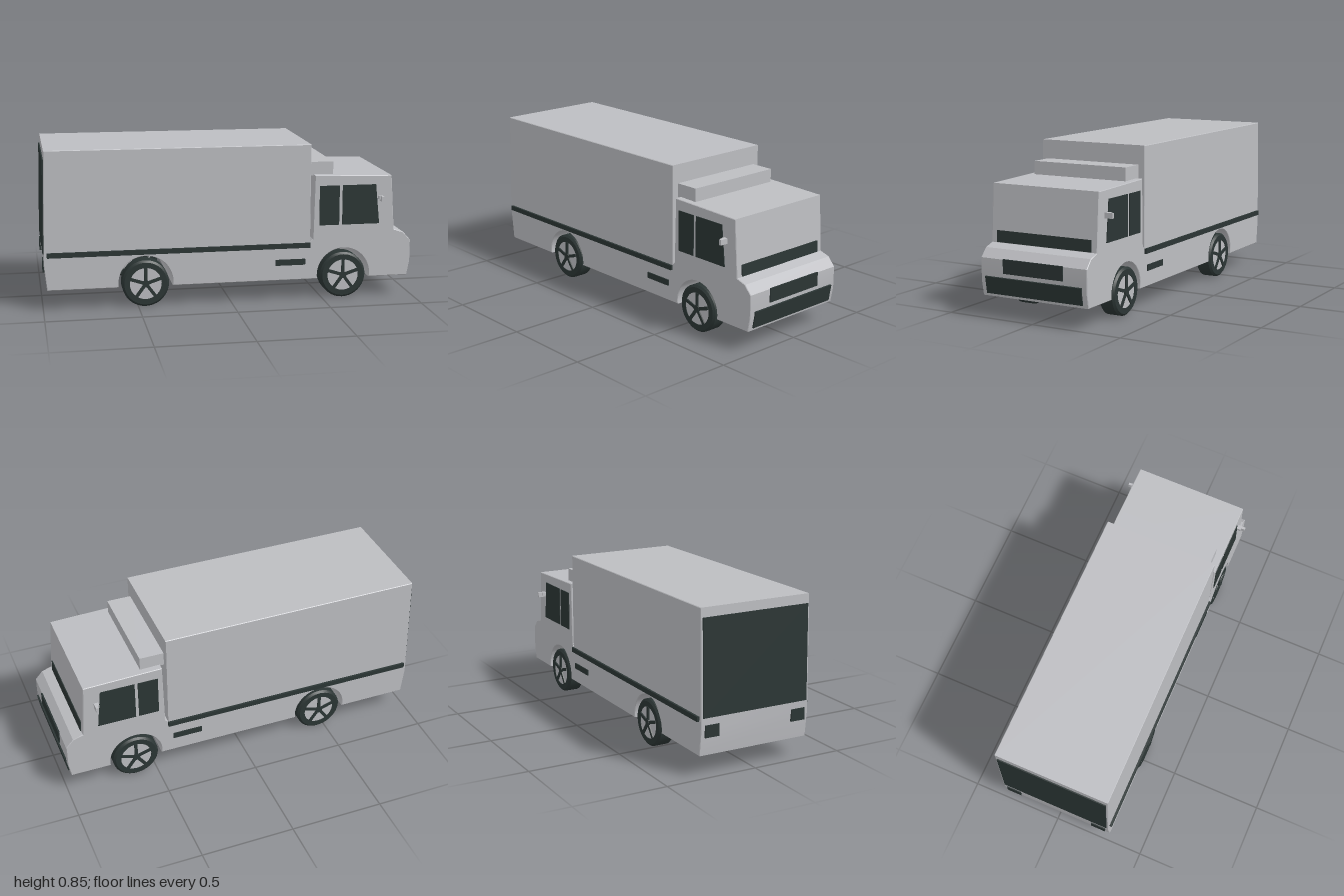
import * as THREE from 'three';
import { toCreasedNormals } from 'three/addons/utils/BufferGeometryUtils.js';

const paint = new THREE.MeshStandardMaterial({ color: 0xbcbdc1 });
paint.name = 'light grey paint';
const dark = new THREE.MeshStandardMaterial({ color: 0x2b3534 });
dark.name = 'dark trim';

const AXLES = [-0.46, 0.615];
const ARCH_R = 0.145, ARCH_Y = 0.13, BOTTOM = 0.11, HALF = 0.311;

function add(parent, name, geometry, material, x = 0, y = 0, z = 0) {
  const mesh = new THREE.Mesh(geometry, material);
  mesh.name = name;
  mesh.position.set(x, y, z);
  parent.add(mesh);
  return mesh;
}

// Box given by its limits on each axis
function block(parent, name, material, [x0, x1], [y0, y1], [z0, z1]) {
  return add(parent, name, new THREE.BoxGeometry(x1 - x0, y1 - y0, z1 - z0), material,
    (x0 + x1) / 2, (y0 + y1) / 2, (z0 + z1) / 2);
}

// Thin plate across the truck, laid on a sloping edge of the side profile
function crossPlate(parent, name, [xa, ya], [xb, yb], halfWidth) {
  const plate = add(parent, name,
    new THREE.BoxGeometry(0.009, Math.hypot(xb - xa, yb - ya), halfWidth * 2), dark,
    (xa + xb) / 2, (ya + yb) / 2, 0);
  plate.rotation.z = -Math.atan2(xb - xa, yb - ya);
  return plate;
}

// Side profile with open wheel arches and a gap between cab and cargo box
function bodyGeometry() {
  const s = new THREE.Shape();
  const a = Math.asin((ARCH_Y - BOTTOM) / ARCH_R);
  s.moveTo(-0.978, BOTTOM);
  for (const x of AXLES) {
    s.lineTo(x - ARCH_R * Math.cos(a), BOTTOM);
    s.absarc(x, ARCH_Y, ARCH_R, Math.PI + a, -a, true);
  }
  const rest = [[0.975, 0.11], [0.99, 0.19], [0.99, 0.305], [0.95, 0.35], [0.896, 0.368],
    [0.876, 0.666], [0.453, 0.678], [0.445, 0.33], [0.43, 0.315], [0.43, 0.845],
    [-0.978, 0.849], [-0.993, 0.25]];
  for (const [x, y] of rest) s.lineTo(x, y);
  s.closePath();
  const bevel = 0.003;
  const g = new THREE.ExtrudeGeometry(s, {
    depth: 2 * (HALF - bevel), curveSegments: 24, bevelEnabled: true,
    bevelThickness: bevel, bevelSize: bevel, bevelOffset: -bevel, bevelSegments: 1,
  });
  g.translate(0, 0, -(HALF - bevel));
  return toCreasedNormals(g, 0.4);
}

// Window plate on one side, from outline points
function sideWindow(parent, name, points, side) {
  const shape = new THREE.Shape(points.map(([x, y]) => new THREE.Vector2(x, y)));
  const g = new THREE.ExtrudeGeometry(shape, { depth: 0.006, bevelEnabled: false });
  add(parent, name, g, dark, 0, 0, side > 0 ? HALF - 0.002 : -HALF - 0.004);
}

// Wheel around its own z axis
function wheel() {
  const w = new THREE.Group();
  w.name = 'wheel';
  const profile = [[0.085, -0.046], [0.114, -0.046], [0.125, -0.036], [0.125, 0.036],
    [0.114, 0.046], [0.085, 0.046], [0.085, -0.046]].map(([r, h]) => new THREE.Vector2(r, h));
  const tyre = new THREE.LatheGeometry(profile, 40);
  tyre.rotateX(Math.PI / 2);
  add(w, 'tyre', toCreasedNormals(tyre, 0.5), dark);
  const rim = new THREE.CylinderGeometry(0.086, 0.086, 0.086, 40);
  rim.rotateX(Math.PI / 2);
  add(w, 'rim', rim, paint);
  const hub = new THREE.CylinderGeometry(0.019, 0.019, 0.104, 20);
  hub.rotateX(Math.PI / 2);
  add(w, 'hub', hub, dark);
  for (let i = 0; i < 5; i++) {
    const spoke = new THREE.BoxGeometry(0.017, 0.084, 0.1);
    spoke.translate(0, 0.044, 0);
    add(w, 'spoke', spoke, dark).rotation.z = i * Math.PI * 2 / 5;
  }
  return w;
}

export function createModel() {
  const truck = new THREE.Group();
  truck.name = 'box truck';

  // Body and roof fairing
  add(truck, 'body', bodyGeometry(), paint);
  block(truck, 'roofFairing', paint, [0.425, 0.56], [0.672, 0.745], [-0.275, 0.275]);

  // Front plates
  crossPlate(truck, 'windshield', [0.896, 0.37], [0.892, 0.43], 0.278);
  crossPlate(truck, 'grille', [0.991, 0.235], [0.991, 0.308], 0.175);
  crossPlate(truck, 'bumper', [0.98, 0.125], [0.995, 0.213], 0.282);

  // Rear door and lamps
  crossPlate(truck, 'rearDoor', [-0.992, 0.305], [-0.981, 0.8], 0.3);

  for (const side of [1, -1]) {
    const span = (a, b) => (side > 0 ? [a, b] : [-b, -a]);
    block(truck, 'rearLamp', dark, [-0.998, -0.985], [0.205, 0.268], span(0.21, 0.29));

    // Side trim
    block(truck, 'sideStripe', dark, [-0.975, 0.43], [0.286, 0.312], span(0.305, 0.323));
    block(truck, 'sideVent', dark, [0.24, 0.403], [0.192, 0.224], span(0.308, 0.317));

    // Side windows
    sideWindow(truck, 'rearSideWindow',
      [[0.479, 0.405], [0.588, 0.405], [0.588, 0.62], [0.479, 0.62]], side);
    sideWindow(truck, 'frontSideWindow',
      [[0.605, 0.405], [0.811, 0.405], [0.789, 0.62], [0.605, 0.62]], side);

    // Mirror
    block(truck, 'mirrorArm', paint, [0.802, 0.818], [0.54, 0.558], span(0.308, 0.335));
    block(truck, 'mirror', paint, [0.812, 0.826], [0.53, 0.558], span(0.312, 0.355));

    // Wheels
    for (const x of AXLES) {
      const w = wheel();
      w.position.set(x, 0.125, side * 0.264);
      if (side < 0) w.rotation.y = Math.PI;
      truck.add(w);
    }
  }
  return truck;
}
